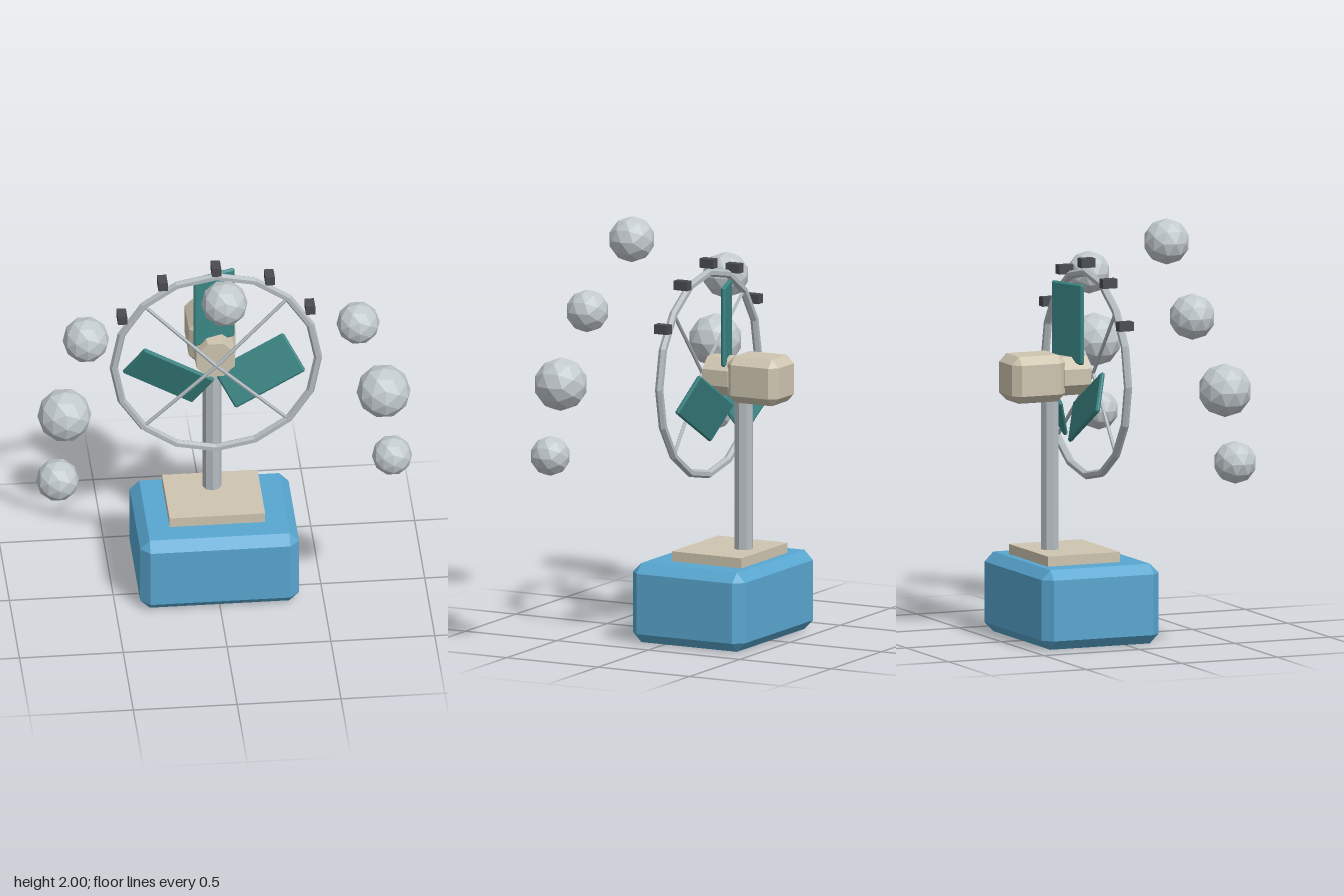
import * as THREE from 'three';
import { ConvexGeometry } from 'three/addons/geometries/ConvexGeometry.js';

const material = (name, color) => {
  const m = new THREE.MeshStandardMaterial({ color, flatShading: true });
  m.name = name;
  return m;
};

// Box with a single flat bevel on every edge
function chamferBox(w, h, d, c) {
  const [x, y, z] = [w / 2, h / 2, d / 2];
  const points = [];
  for (const sx of [-1, 1]) for (const sy of [-1, 1]) for (const sz of [-1, 1]) {
    points.push(
      new THREE.Vector3(sx * x, sy * (y - c), sz * (z - c)),
      new THREE.Vector3(sx * (x - c), sy * y, sz * (z - c)),
      new THREE.Vector3(sx * (x - c), sy * (y - c), sz * z));
  }
  return new ConvexGeometry(points);
}

export function createModel() {
  const blue = material('blue paint', 0x58a6d0);
  const cream = material('cream', 0xcec5b0);
  const steel = material('steel', 0xb4bcc1);
  const teal = material('teal', 0x3a8584);
  const dark = material('dark grey', 0x4a4c52);
  const silver = material('silver', 0xc2cace);

  const model = new THREE.Group();
  model.name = 'fan';
  const add = (name, geometry, mat, x, y, z, parent = model) => {
    const mesh = new THREE.Mesh(geometry, mat);
    mesh.name = name;
    mesh.position.set(x, y, z);
    parent.add(mesh);
    return mesh;
  };

  const axisY = 1.272;
  const ringZ = -0.055;
  const ringR = 0.492;

  // Stand
  add('base', chamferBox(0.765, 0.386, 0.614, 0.046), blue, 0, 0.193, -0.133);
  add('basePlate', new THREE.BoxGeometry(0.46, 0.05, 0.38), cream, 0, 0.41, -0.17);
  add('pole', new THREE.CylinderGeometry(0.045, 0.045, 0.8, 8), steel, 0, 0.82, -0.247);

  // Motor and hub
  add('motorHousing', chamferBox(0.226, 0.226, 0.28, 0.038), cream, 0, axisY, -0.34);
  const hub = new THREE.CylinderGeometry(0.1, 0.1, 0.14, 8);
  hub.rotateY(Math.PI / 8).rotateX(Math.PI / 2);
  add('hub', hub, cream, 0, axisY, -0.14);

  // Three pitched blades
  const bladeShape = chamferBox(0.215, 0.39, 0.022, 0.008);
  for (let i = 0; i < 3; i++) {
    const a = i * Math.PI * 2 / 3;
    const blade = add('blade', bladeShape, teal,
      Math.sin(a) * 0.253, axisY + Math.cos(a) * 0.253, -0.1525);
    blade.rotation.set(0, 0.35, a, 'ZYX');
  }

  // Guard ring with spokes meeting in front of the hub
  add('guardRing', new THREE.TorusGeometry(ringR, 0.02, 6, 16), steel, 0, axisY, ringZ);
  const centre = new THREE.Vector3(0, axisY, -0.02);
  for (let i = 0; i < 4; i++) {
    const a = Math.PI / 4 + i * Math.PI / 2;
    const end = new THREE.Vector3(Math.cos(a) * ringR, axisY + Math.sin(a) * ringR, ringZ);
    const along = end.clone().sub(centre);
    const mid = centre.clone().add(end).multiplyScalar(0.5);
    const spoke = add('spoke', new THREE.CylinderGeometry(0.009, 0.009, along.length(), 6),
      steel, mid.x, mid.y, mid.z);
    spoke.quaternion.setFromUnitVectors(new THREE.Vector3(0, 1, 0), along.normalize());
  }

  // Small clips along the top of the ring
  const clip = new THREE.BoxGeometry(0.045, 0.045, 0.074);
  for (let i = -2; i <= 2; i++) {
    const a = i * 0.5;
    add('clip', clip, dark, Math.sin(a) * 0.538, axisY + Math.cos(a) * 0.538, ringZ);
  }

  // Floating faceted balls: x, y, z, radius
  const balls = [
    [0, 1.888, 0.365, 0.112],
    [-0.652, 1.62, 0.21, 0.112], [-0.767, 1.272, 0.33, 0.13], [-0.804, 0.926, 0.367, 0.104],
    [0.655, 1.658, 0.248, 0.104], [0.77, 1.312, 0.33, 0.13], [0.807, 0.965, 0.367, 0.097],
  ];
  for (const [x, y, z, r] of balls) {
    add('ball', new THREE.IcosahedronGeometry(r, 1), silver, x, y, z);
  }
  return model;
}
